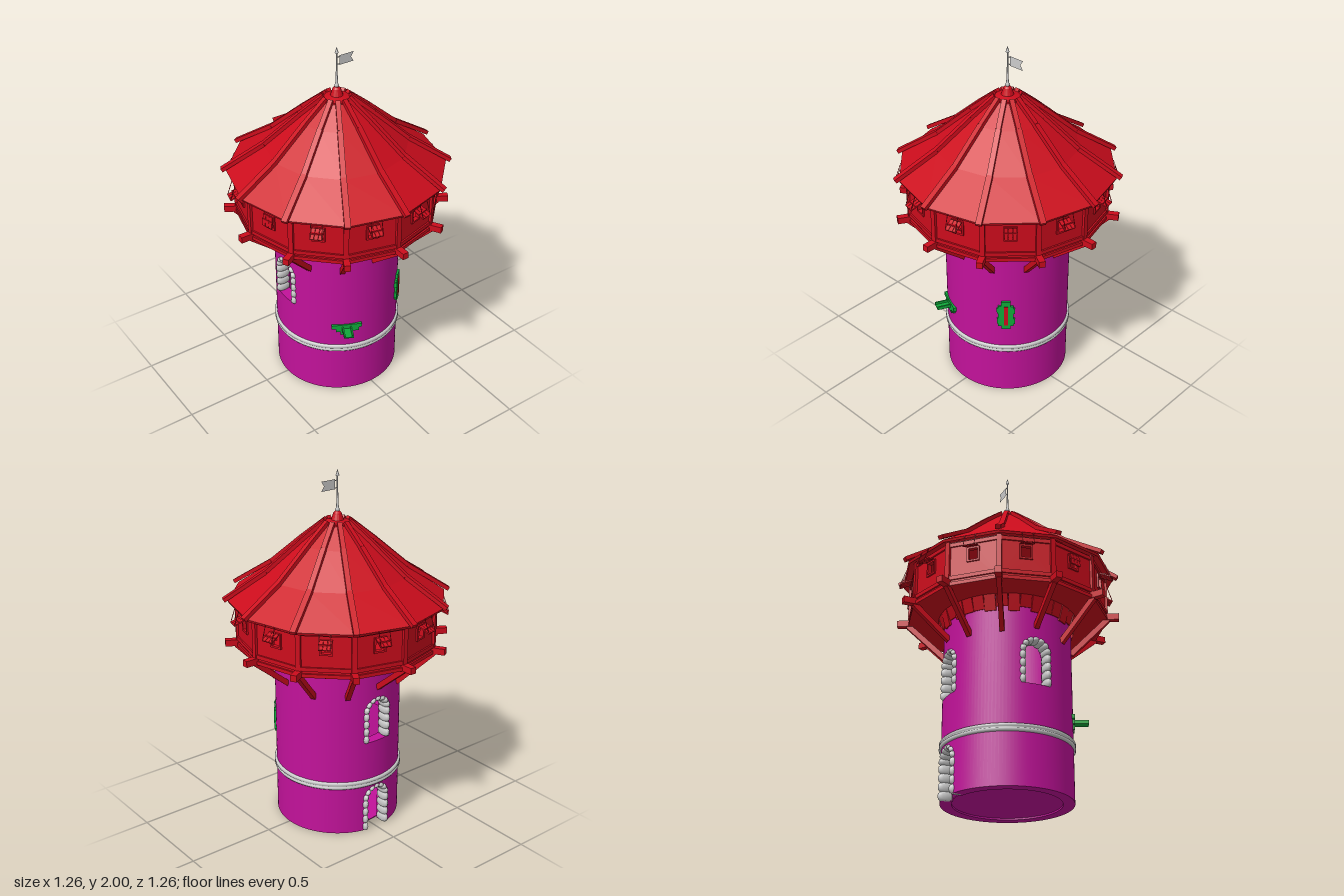
import * as THREE from 'three';

const mat = (color, extra = {}) => new THREE.MeshStandardMaterial({ color, ...extra });
const red = mat(0xcc0c1c, { flatShading: true });
const magenta = mat(0xc2129a, { side: THREE.DoubleSide });
const green = mat(0x10a83a, { flatShading: true });
const grey = mat(0xcccccc);
const greyFlat = mat(0xcccccc, { side: THREE.DoubleSide });
const D = Math.PI / 180, R = 0.352, INNER = 0.29;

function add(parent, name, geo, material, x = 0, y = 0, z = 0) {
  const m = new THREE.Mesh(geo, material);
  m.name = name;
  m.position.set(x, y, z);
  parent.add(m);
  return m;
}
const box = (parent, name, material, w, h, d, x, y, z) =>
  add(parent, name, new THREE.BoxGeometry(w, h, d), material, x, y, z);

// Group whose local +z points outwards at the given angle
function spoke(parent, name, deg) {
  const g = new THREE.Group();
  g.name = name;
  g.rotation.y = deg * D;
  parent.add(g);
  return g;
}
// Beam between two [radius, height] points in a spoke's plane
function beam(parent, name, [z0, y0], [z1, y1], w, h, x = 0) {
  const m = box(parent, name, red, w, h, Math.hypot(z1 - z0, y1 - y0), x, (y0 + y1) / 2, (z0 + z1) / 2);
  m.rotation.x = -Math.atan2(y1 - y0, z1 - z0);
  return m;
}
const lathe = (pts, n) => new THREE.LatheGeometry(pts.map(p => new THREE.Vector2(...p)), n);

// Openings: angle, bottom, spring of the arch
const HALF = 12, ARCH = R * Math.sin(HALF * D);
const openings = [
  { deg: 180, y0: 0, spring: 0.19 },
  { deg: 180, y0: 0.55, spring: 0.73 },
  { deg: 270, y0: 0.55, spring: 0.73 },
];

// Hollow round wall, built in 3 degree columns that leave the arched openings free
function towerWall() {
  const pos = [], norm = [], top = 1.04;
  const vert = (r, deg, y) => [r * Math.sin(deg * D), y, r * Math.cos(deg * D)];
  const quad = (a, b, c, d, normals) => {
    const n = new THREE.Vector3().subVectors(new THREE.Vector3(...b), new THREE.Vector3(...a))
      .cross(new THREE.Vector3().subVectors(new THREE.Vector3(...d), new THREE.Vector3(...a))).normalize().toArray();
    const ns = normals || [n, n, n, n], p = [a, b, c, d];
    [0, 1, 2, 0, 2, 3].forEach(i => { pos.push(...p[i]); norm.push(...ns[i]); });
  };
  const archY = (o, deg) => o.spring + Math.sqrt(Math.max(0, ARCH ** 2 - (R * Math.sin((deg - o.deg) * D)) ** 2));
  for (let a = 0; a < 360; a += 3) {
    const b = a + 3;
    const holes = openings.filter(o => Math.abs(a + 1.5 - o.deg) < HALF);
    // Solid spans as [bottom left, bottom right, top left, top right]
    let low = [0, 0];
    const spans = [];
    for (const o of holes) {
      if (o.y0 > 0) spans.push([...low, o.y0, o.y0]);
      low = [archY(o, a), archY(o, b)];
      for (const [edge, flip] of [[o.deg - HALF, false], [o.deg + HALF, true]]) {
        if ((flip ? b : a) !== edge) continue;
        const c = [vert(R, edge, o.y0), vert(INNER, edge, o.y0), vert(INNER, edge, o.spring), vert(R, edge, o.spring)];
        if (flip) c.reverse();
        quad(...c);
      }
    }
    spans.push([...low, top, top]);
    const na = vert(1, a, 0), nb = vert(1, b, 0), ia = vert(-1, a, 0), ib = vert(-1, b, 0);
    for (const [l0, l1, t0, t1] of spans) {
      quad(vert(R, a, l0), vert(R, b, l1), vert(R, b, t1), vert(R, a, t0), [na, nb, nb, na]);
      quad(vert(INNER, b, l1), vert(INNER, a, l0), vert(INNER, a, t0), vert(INNER, b, t1), [ib, ia, ia, ib]);
      quad(vert(R, a, t0), vert(R, b, t1), vert(INNER, b, t1), vert(INNER, a, t0));
      quad(vert(INNER, a, l0), vert(INNER, b, l1), vert(R, b, l1), vert(R, a, l0));
    }
  }
  const g = new THREE.BufferGeometry();
  g.setAttribute('position', new THREE.Float32BufferAttribute(pos, 3));
  g.setAttribute('normal', new THREE.Float32BufferAttribute(norm, 3));
  return g;
}

// Rounded stones up both jambs and around the arch
function stoneFrame(parent, o) {
  const g = spoke(parent, 'stoneFrame', o.deg);
  const stone = (x, y, len, turn) => {
    const h = len / 2;
    const geo = lathe([[0, -h], [0.014, -h], [0.019, -h * 0.6], [0.02, 0], [0.019, h * 0.6], [0.014, h], [0, h]], 12);
    geo.scale(1, 1, 2.2);
    add(g, 'stone', geo, grey, x, y, 0.318).rotation.z = turn;
  };
  const rows = 4, len = (o.spring - o.y0) / rows;
  for (const s of [-1, 1])
    for (let i = 0; i < rows; i++) stone(s * ARCH, o.y0 + (i + 0.5) * len, len, 0);
  const n = 7;
  for (let i = 0; i < n; i++) {
    const t = (i + 0.5) / n * Math.PI;
    stone(ARCH * Math.cos(t), o.spring + ARCH * Math.sin(t), ARCH * Math.PI / n * 1.1, t);
  }
}

// One gallery side: planked panel with window, rails, frame and shutter
function gallerySide(parent, deg, closed) {
  const g = spoke(parent, 'gallerySide', deg), z = 0.555 * Math.cos(15 * D), w = 0.1436;
  const s = new THREE.Shape([[-w, 1.05], [w, 1.05], [w, 1.3], [-w, 1.3]].map(p => new THREE.Vector2(...p)));
  s.holes.push(new THREE.Path([[-0.025, 1.175], [-0.025, 1.24], [0.025, 1.24], [0.025, 1.175]].map(p => new THREE.Vector2(...p))));
  add(g, 'panel', new THREE.ExtrudeGeometry(s, { depth: 0.015, bevelEnabled: false }), red, 0, 0, z - 0.018);
  for (const y of [1.085, 1.28]) box(g, 'rail', red, 2 * w, 0.022, 0.012, 0, y, z);
  for (const x of [-0.03, 0.03]) box(g, 'windowJamb', red, 0.01, 0.085, 0.012, x, 1.2075, z);
  for (const y of [1.17, 1.245]) box(g, 'windowRail', red, 0.07, 0.01, 0.012, 0, y, z);
  const hinge = [z + 0.012, 1.25], tip = closed ? [z + 0.022, 1.185] : [z + 0.072, 1.222];
  for (const x of [-0.022, 0, 0.022]) beam(g, 'shutterBoard', hinge, tip, 0.02, 0.007, x);
  const mid = [(hinge[0] + tip[0]) / 2, (hinge[1] + tip[1]) / 2 + 0.005];
  box(g, 'shutterBatten', red, 0.07, 0.007, 0.01, 0, mid[1], mid[0]);
  if (!closed) for (const x of [-0.03, 0.03]) beam(g, 'shutterStay', tip, [z + 0.045, 1.3], 0.003, 0.003, x);
}

export function createModel() {
  const model = new THREE.Group();
  model.name = 'tower';

  // Stone shaft
  add(model, 'towerWall', towerWall(), magenta);
  add(model, 'towerFloor', new THREE.CylinderGeometry(INNER, INNER, 0.006, 64), magenta, 0, 0.012, 0);
  add(model, 'stringCourse', lathe([[0.35, 0.282], [0.36, 0.284], [0.364, 0.29], [0.364, 0.3], [0.357, 0.304],
    [0.364, 0.308], [0.364, 0.318], [0.36, 0.324], [0.35, 0.326]], 80), grey);
  openings.forEach(o => stoneFrame(model, o));

  // Arrow slit with stepped surround
  const slit = spoke(model, 'arrowSlit', 41.9);
  for (const [w, h, y] of [[0.05, 0.186, 0.545], [0.085, 0.135, 0.54], [0.1, 0.035, 0.575], [0.1, 0.035, 0.505]])
    box(slit, 'slitStone', green, w, h, 0.03, 0, y, 0.345 + h * 0.02);
  box(slit, 'slitOpening', red, 0.022, 0.126, 0.03, 0, 0.543, 0.352);

  // Stepped corbel stones with a projecting spout
  const drain = spoke(model, 'drain', -26);
  for (const [w, h, x, y] of [[0.17, 0.024, 0, 0.461], [0.13, 0.022, 0.005, 0.438], [0.07, 0.022, 0, 0.416]])
    box(drain, 'drainStone', green, w, h, 0.036, x, y, 0.341);
  box(drain, 'spoutFloor', green, 0.054, 0.006, 0.1, 0, 0.443, 0.386);
  for (const x of [-0.023, 0.023]) box(drain, 'spoutSide', green, 0.008, 0.02, 0.1, x, 0.45, 0.386);

  // Planked skirt below the gallery, boards of uneven length
  for (let i = 0; i < 36; i++) {
    const y = 0.965 + 0.014 * Math.sin(i * 2.7);
    beam(spoke(model, 'skirtBoard', i * 10), 'board', [0.354, y], [0.38, 1.045], 0.062, 0.012);
  }

  // Gallery floor and sides
  add(model, 'galleryFloor', lathe([[0, 1.04], [0.562, 1.04], [0.562, 1.06], [0, 1.06]], 12), red);
  for (let i = 0; i < 12; i++) gallerySide(model, 15 + 30 * i, i === 1 || i === 9);

  // Roof shell
  const profile = [[0.6, 1.3], [0.39, 1.445], [0.2, 1.61], [0.07, 1.715]];
  const under = profile.map(([r, y]) => [r - 0.006, y - 0.014]).reverse();
  add(model, 'roof', lathe([...under, ...profile], 12), red);

  // Floor beams, struts, corner posts and roof ribs on each corner
  for (let i = 0; i < 12; i++) {
    const g = spoke(model, 'corner', i * 30);
    beam(g, 'floorBeam', [0.34, 1.058], [0.622, 1.058], 0.035, 0.036);
    const foot = 0.85 + 0.022 * Math.cos(i * 2.1);
    beam(g, 'strut', [0.35, foot], [0.56, 1.045], 0.026, 0.03);
    box(g, 'cornerPost', red, 0.028, 0.25, 0.024, 0, 1.175, 0.55);
    const rib = [[0.622, 1.295], ...profile.slice(1)].map(([r, y]) => [r, y + 0.01]);
    for (let k = 0; k < 3; k++) beam(g, 'roofRib', rib[k], rib[k + 1], 0.032 - k * 0.003, 0.022);
  }

  // Roof cap, finial and pennant
  add(model, 'roofCap', lathe([[0, 1.7], [0.078, 1.7], [0.078, 1.716], [0.034, 1.728], [0.022, 1.765], [0.012, 1.775], [0, 1.775]], 16), red);
  add(model, 'finial', lathe([[0, 1.77], [0.008, 1.772], [0.013, 1.782], [0.008, 1.792], [0.007, 1.8], [0.004, 1.88],
    [0.004, 1.965], [0.01, 1.966], [0.0, 2.0]], 12), grey);
  const pennant = new THREE.Shape([[0, 1.893], [0.108, 1.893], [0.09, 1.92], [0.108, 1.947], [0.018, 1.947],
    [0.018, 1.924], [0, 1.924]].map(([x, y]) => new THREE.Vector2(x < 0.018 ? 0.018 : x, y)));
  add(model, 'pennant', new THREE.ShapeGeometry(pennant), greyFlat);
  for (const y of [1.9, 1.94]) box(model, 'pennantRing', grey, 0.02, 0.004, 0.004, 0.01, y, 0);
  return model;
}
